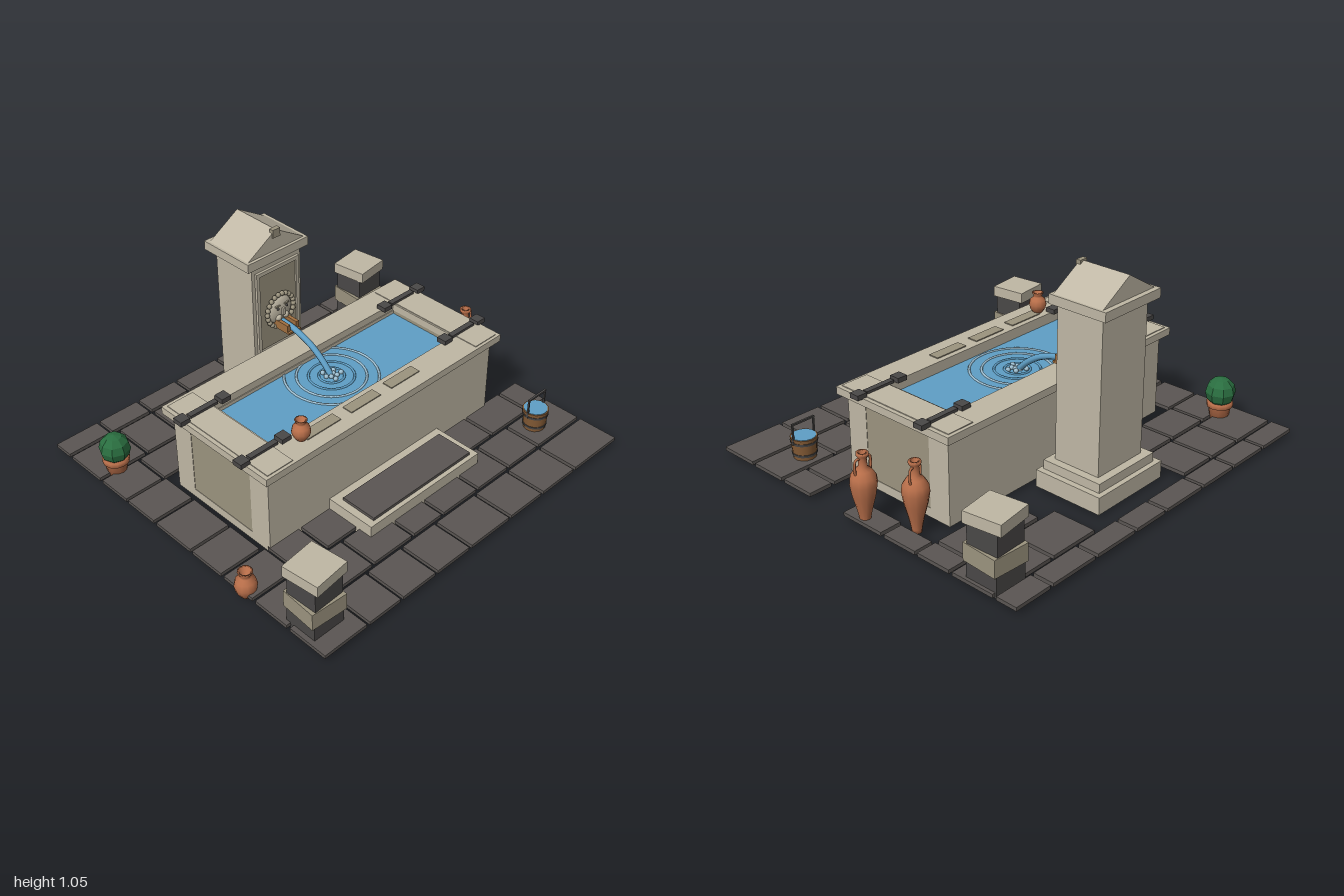
import * as THREE from 'three';

const mat = (name, color, extra = {}) => {
  const m = new THREE.MeshStandardMaterial({ color, ...extra });
  m.name = name;
  return m;
};

export function createModel() {
  const stone = mat('pale stone', 0xc0b8a5);
  const darkStone = mat('weathered stone', 0x9c947f);
  const slate = mat('paving slate', 0x5b5653);
  const iron = mat('charcoal iron', 0x4a4847);
  const water = mat('water', 0x5f9fc6, { side: THREE.DoubleSide });
  const foam = mat('foam', 0x9fc0d2);
  const clay = mat('terracotta', 0xb96f4a, { side: THREE.DoubleSide });
  const wood = mat('bucket wood', 0x865c36);
  const bronze = mat('bronze', 0xa06f40);
  const leaf = mat('leaf green', 0x2a6e40, { flatShading: true });

  const model = new THREE.Group();
  model.name = 'fountain';
  const group = (name, x = 0, y = 0, z = 0, parent = model) => {
    const g = new THREE.Group();
    g.name = name;
    g.position.set(x, y, z);
    parent.add(g);
    return g;
  };
  const add = (parent, name, geo, material, x = 0, y = 0, z = 0) => {
    const m = new THREE.Mesh(geo, material);
    m.name = name;
    m.position.set(x, y, z);
    parent.add(m);
    return m;
  };
  // box given by its limits on each axis
  const box = (parent, name, material, x0, x1, y0, y1, z0, z1) =>
    add(parent, name, new THREE.BoxGeometry(x1 - x0, y1 - y0, z1 - z0), material,
      (x0 + x1) / 2, (y0 + y1) / 2, (z0 + z1) / 2);

  // Paving: each row has z limits and runs of joints [x0, x1, x2 ...]
  const paving = group('paving');
  const rows = [
    [-0.925, -0.82, [-0.98, -0.73, -0.49, -0.25, 0.02, 0.23, 0.49, 0.765, 0.98]],
    [-0.80, -0.58, [-0.98, -0.70, -0.49, -0.275], [0.345, 0.62, 0.85, 0.98]],
    [-0.56, -0.38, [-0.98, -0.76, -0.515, -0.285], [0.43, 0.66, 0.86, 0.98]],
    [-0.365, -0.18, [-0.98, -0.745], [0.865, 0.98]],
    [-0.16, 0.075, [-0.98, -0.745], [0.85, 0.98]],
    [0.09, 0.28, [-0.98, -0.745]],
    [0.30, 0.48, [-0.98, -0.73, -0.54, -0.34], [0.34, 0.57, 0.84, 0.98]],
    [0.50, 0.69, [-0.98, -0.745, -0.465, -0.215, -0.02, 0.22, 0.44, 0.66, 0.98]],
    [0.71, 0.915, [-0.98, -0.725, -0.525, -0.31, -0.09, 0.18, 0.41, 0.65, 0.98]],
  ];
  for (const [z0, z1, ...runs] of rows)
    for (const run of runs)
      for (let i = 0; i + 1 < run.length; i++)
        box(paving, 'paver', slate, run[i] + 0.009, run[i + 1] - 0.009, 0.024, 0.042, z0, z1);

  // Basin: floor, four walls, overhanging rim with an opening
  const basin = group('basin');
  box(basin, 'floor', stone, -0.717, 0.717, 0.015, 0.06, -0.312, 0.312);
  for (const s of [-1, 1]) {
    const zc = s * 0.254, xc = s * 0.648;
    box(basin, 'longWall', stone, -0.717, 0.717, 0.06, 0.433, zc - 0.058, zc + 0.058);
    box(basin, 'endWall', darkStone, xc - 0.067, xc + 0.067, 0.06, 0.433, -0.196, 0.196);
    box(basin, 'endCoping', stone, s * 0.66 - 0.072, s * 0.66 + 0.072, 0.468, 0.474, -0.33, 0.33);
  }
  const rimShape = new THREE.Shape();
  rimShape.moveTo(-0.752, -0.345).lineTo(0.752, -0.345).lineTo(0.752, 0.348).lineTo(-0.752, 0.348).closePath();
  const hole = new THREE.Path();
  hole.moveTo(-0.58, -0.193).lineTo(-0.58, 0.2).lineTo(0.58, 0.2).lineTo(0.58, -0.193).closePath();
  rimShape.holes.push(hole);
  const rimGeo = new THREE.ExtrudeGeometry(rimShape, { depth: 0.037, bevelEnabled: false }).rotateX(-Math.PI / 2);
  add(basin, 'rim', rimGeo, stone, 0, 0.433, 0);
  for (const [x0, x1] of [[-0.45, -0.25], [-0.185, 0], [0.07, 0.255]])
    box(basin, 'wornPatch', darkStone, x0, x1, 0.468, 0.475, 0.22, 0.275);

  // Iron clamps across the ends
  for (const sx of [-1, 1]) for (const z of [-0.2, 0.194]) {
    const clamp = group('clamp', sx * 0.638, 0.48, z);
    box(clamp, 'clampBar', iron, -0.078, 0.078, -0.008, 0.006, -0.014, 0.014);
    for (const s of [-1, 1])
      box(clamp, 'clampHead', iron, s * 0.117 - 0.026, s * 0.117 + 0.026, -0.012, 0.012, -0.026, 0.026);
  }

  // Step in front of the basin
  box(model, 'step', stone, -0.358, 0.358, 0.015, 0.1, 0.312, 0.572);
  box(model, 'stepTread', slate, -0.32, 0.32, 0.1, 0.115, 0.36, 0.55);

  // Water surface, ripples, foam and falling stream
  const level = 0.415;
  add(model, 'waterSurface', new THREE.PlaneGeometry(1.162, 0.394).rotateX(-Math.PI / 2), water, 0, level, 0);
  const ripples = group('ripples', 0, level, -0.04);
  for (const r of [0.06, 0.108, 0.165, 0.222])
    add(ripples, 'ripple', new THREE.TorusGeometry(r, 0.006, 6, 40).rotateX(Math.PI / 2), r > 0.15 ? foam : water);
  for (let i = 0; i < 9; i++) {
    const a = i * 2.4, r = 0.012 + 0.0045 * i;
    add(ripples, 'bubble', new THREE.SphereGeometry(0.012, 8, 6), foam, Math.cos(a) * r, 0.006, Math.sin(a) * r);
  }
  const arc = new THREE.CatmullRomCurve3([[0.562, -0.37], [0.555, -0.29], [0.52, -0.18], [0.468, -0.1], [0.41, -0.04]]
    .map(([y, z]) => new THREE.Vector3(0, y, z)));
  add(model, 'stream', new THREE.TubeGeometry(arc, 20, 0.015, 8), water);

  // Pillar with plinth, cap and gabled roof
  const pillar = group('pillar');
  box(pillar, 'plinth', stone, -0.22, 0.22, 0.015, 0.1, -0.715, -0.355);
  box(pillar, 'plinthTier', stone, -0.19, 0.19, 0.1, 0.145, -0.69, -0.372);
  box(pillar, 'shaft', stone, -0.15, 0.15, 0.145, 0.895, -0.65, -0.405);
  box(pillar, 'cap', stone, -0.185, 0.185, 0.895, 0.94, -0.69, -0.385);
  const gable = new THREE.Shape();
  gable.moveTo(-0.172, 0).lineTo(0.172, 0).lineTo(0, 0.105).closePath();
  add(pillar, 'roof', new THREE.ExtrudeGeometry(gable, { depth: 0.265, bevelEnabled: false }), stone, 0, 0.94, -0.665);
  box(pillar, 'finial', darkStone, -0.022, 0.022, 1.008, 1.05, -0.418, -0.394);
  box(pillar, 'panel', darkStone, -0.115, 0.115, 0.43, 0.845, -0.406, -0.4);
  for (const s of [-1, 1])
    box(pillar, 'panelFrame', stone, s * 0.122 - 0.009, s * 0.122 + 0.009, 0.42, 0.86, -0.406, -0.392);
  box(pillar, 'panelFrameTop', stone, -0.131, 0.131, 0.84, 0.86, -0.406, -0.392);

  // Carved mask with curly mane, and the spout below it
  const mask = group('mask', 0, 0.62, -0.395);
  add(mask, 'face', new THREE.SphereGeometry(0.074, 20, 12), stone).scale.z = 0.38;
  const curl = new THREE.SphereGeometry(0.0125, 8, 6);
  for (let i = 0; i < 22; i++) {
    const a = -Math.PI / 2 + (i + 0.5) * Math.PI * 2 / 22;
    add(mask, 'maneCurl', curl, darkStone, Math.cos(a) * 0.082, Math.sin(a) * 0.086, 0.012);
  }
  for (const s of [-1, 1]) {
    add(mask, 'eye', new THREE.SphereGeometry(0.007, 8, 6), iron, s * 0.027, 0.02, 0.025);
    add(mask, 'brow', new THREE.BoxGeometry(0.028, 0.007, 0.01), darkStone, s * 0.027, 0.034, 0.024);
    add(mask, 'cheek', new THREE.SphereGeometry(0.018, 10, 8), stone, s * 0.022, -0.03, 0.02);
  }
  add(mask, 'nose', new THREE.BoxGeometry(0.016, 0.035, 0.016), stone, 0, 0, 0.03);
  box(pillar, 'spoutBase', bronze, -0.037, 0.037, 0.538, 0.548, -0.39, -0.285);
  for (const s of [-1, 1])
    box(pillar, 'spoutSide', bronze, s * 0.028 - 0.009, s * 0.028 + 0.009, 0.548, 0.582, -0.39, -0.297);

  // Two stacked stone posts: light and dark blocks, slightly turned
  for (const [x, z, turn] of [[-0.865, 0.748, 0.11], [0.873, -0.725, 0.14]]) {
    const post = group('stonePost', x, 0, z);
    [[0.165, 0.015, 0.115, iron, 0], [0.182, 0.115, 0.2, darkStone, -0.06],
      [0.16, 0.2, 0.302, iron, 0.04], [0.185, 0.302, 0.358, stone, turn]].forEach(([w, y0, y1, m, r]) => {
      box(post, 'postBlock', m, -w / 2, w / 2, y0, y1, -w / 2, w / 2).rotation.y = r;
    });
  }

  // Terracotta vessels
  const lathe = (pts, seg = 12) => new THREE.LatheGeometry(pts.map(([r, y]) => new THREE.Vector2(r, y)), seg);
  const amphoraGeo = lathe([[0, 0], [0.022, 0], [0.024, 0.02], [0.034, 0.07], [0.052, 0.14], [0.061, 0.195],
    [0.057, 0.23], [0.038, 0.26], [0.021, 0.275], [0.018, 0.315], [0.028, 0.33], [0.028, 0.342], [0.016, 0.342], [0.014, 0.3], [0, 0.28]]);
  const handleGeo = new THREE.TubeGeometry(new THREE.CatmullRomCurve3([[0.018, 0.317], [0.038, 0.315], [0.044, 0.29], [0.042, 0.25]]
    .map(([x, y]) => new THREE.Vector3(x, y, 0))), 10, 0.006, 6);
  for (const [x, z, turn] of [[0.835, -0.235, 0.3], [0.935, -0.025, 0]]) {
    const amphora = group('amphora', x, 0.016, z);
    amphora.rotation.y = turn;
    add(amphora, 'amphoraBody', amphoraGeo, clay);
    for (const s of [0, Math.PI]) add(amphora, 'amphoraHandle', handleGeo, clay).rotation.y = s;
  }
  const potGeo = lathe([[0, 0], [0.026, 0], [0.045, 0.03], [0.052, 0.06], [0.045, 0.09], [0.026, 0.108],
    [0.025, 0.12], [0.035, 0.138], [0.025, 0.138], [0.018, 0.11], [0, 0.1]]);
  add(model, 'groundPot', potGeo, clay, -0.948, 0, 0.415);
  add(model, 'rimPot', potGeo, clay, -0.463, 0.47, 0.248).scale.set(0.84, 0.76, 0.84);

  // Clipped bush in a pot
  const planter = group('planter', -0.868, 0.005, -0.585);
  add(planter, 'planterPot', lathe([[0, 0], [0.042, 0], [0.056, 0.085], [0.064, 0.085], [0.064, 0.108], [0.052, 0.108], [0, 0.1]]), clay);
  add(planter, 'bush', new THREE.SphereGeometry(0.075, 8, 6), leaf, 0, 0.16, 0);

  // Wooden bucket of water with iron hoops and a square handle
  const bucket = group('bucket', 0.77, 0.04, 0.58);
  add(bucket, 'staves', new THREE.CylinderGeometry(0.064, 0.054, 0.108, 14), wood, 0, 0.054, 0);
  add(bucket, 'bucketWater', new THREE.CylinderGeometry(0.058, 0.058, 0.004, 14), water, 0, 0.108, 0);
  for (const [y, r] of [[0.025, 0.058], [0.085, 0.063]])
    add(bucket, 'hoop', new THREE.CylinderGeometry(r + 0.002, r + 0.001, 0.012, 14), iron, 0, y, 0);
  for (const s of [-1, 1])
    box(bucket, 'handleSide', iron, s * 0.06 - 0.004, s * 0.06 + 0.004, 0.08, 0.185, -0.004, 0.004);
  box(bucket, 'handleBar', iron, -0.064, 0.064, 0.178, 0.187, -0.005, 0.005);

  return model;
}
